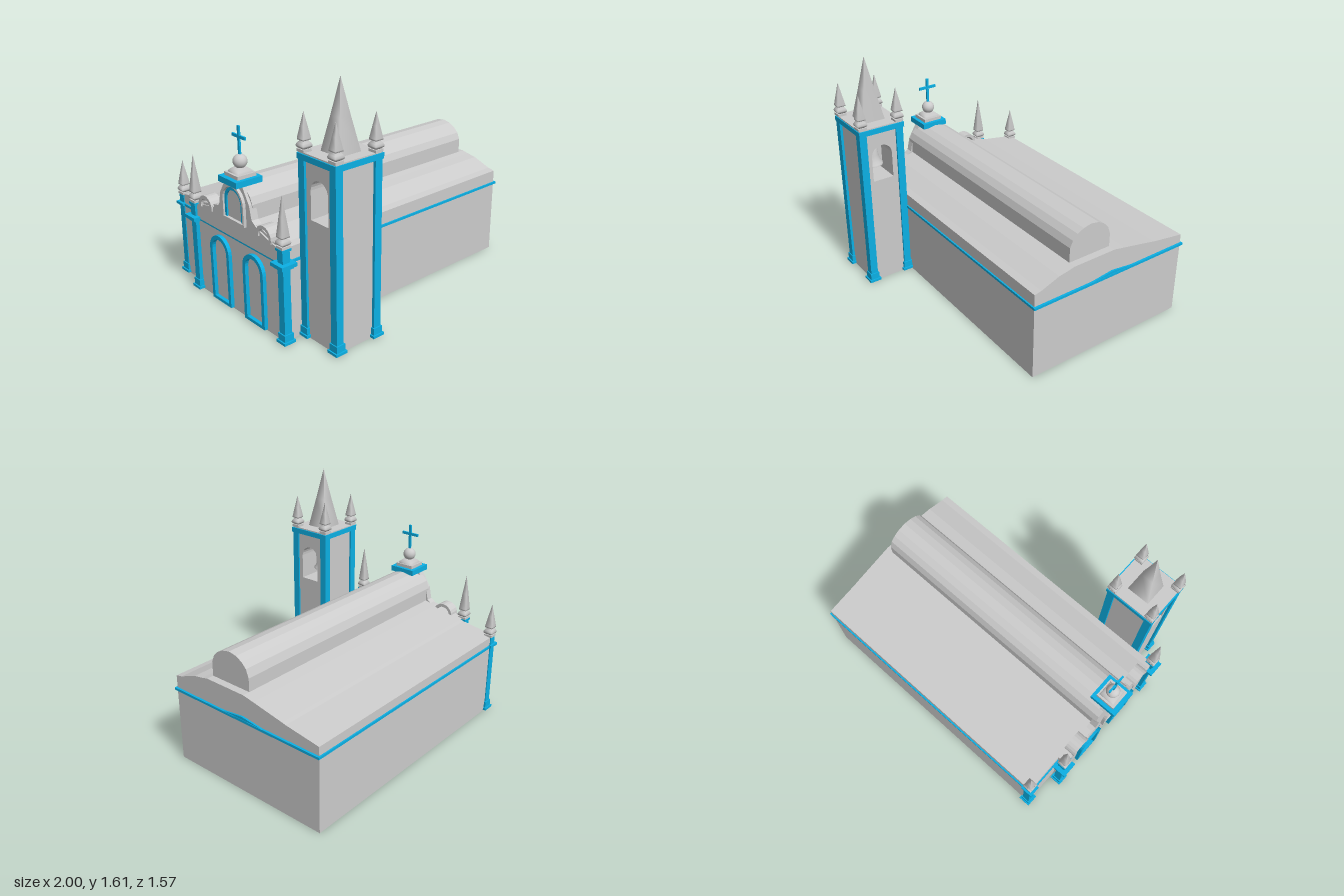
import * as THREE from 'three';

const grey = new THREE.MeshStandardMaterial({ color: 0xcccccc, side: THREE.DoubleSide });
const flat = new THREE.MeshStandardMaterial({ color: 0xcccccc, side: THREE.DoubleSide, flatShading: true });
const blue = new THREE.MeshStandardMaterial({ color: 0x0cb0e4, side: THREE.DoubleSide });

export function createModel() {
  const root = new THREE.Group();

  const add = (name, geometry, material = grey, parent = root) => {
    const mesh = new THREE.Mesh(geometry, material);
    mesh.name = name;
    parent.add(mesh);
    return mesh;
  };
  // box given by its limits on each axis
  const box = (name, x0, x1, y0, y1, z0, z1, material = grey, parent = root) =>
    add(name, new THREE.BoxGeometry(x1 - x0, y1 - y0, z1 - z0), material, parent)
      .position.set((x0 + x1) / 2, (y0 + y1) / 2, (z0 + z1) / 2);
  // outline of [z, y] points, pushed along x
  const outline = (pts, Type = THREE.Shape) => new Type(pts.map(([z, y]) => new THREE.Vector2(-z, y)));
  const along = (name, pts, x0, x1, material = grey, hole = null, parent = root) => {
    const shape = outline(pts);
    if (hole) shape.holes.push(outline(hole, THREE.Path));
    const g = new THREE.ExtrudeGeometry(shape, { depth: x1 - x0, bevelEnabled: false });
    g.rotateY(Math.PI / 2).translate(x0, 0, 0);
    return add(name, g, material, parent);
  };
  // round-headed opening: centre z, half width, sill and springing heights
  const arch = (z, r, y0, y1, n = 12) => {
    const pts = [[z - r, y0], [z + r, y0]];
    for (let i = 0; i <= n; i++) {
      const a = (i / n) * Math.PI;
      pts.push([z + r * Math.cos(a), y1 + r * Math.sin(a)]);
    }
    return pts;
  };
  // four-sided turned shape, radius = half side
  const square = (pts) => new THREE.LatheGeometry(
    pts.map(([r, y]) => new THREE.Vector2(r * Math.SQRT2, y)), 4).rotateY(Math.PI / 4);

  const pinnacle = (x, y, z, h, parent) => {
    const g = new THREE.Group();
    g.name = 'pinnacle';
    box('pinnacleBase', -0.03, 0.03, 0, 0.016, -0.03, 0.03, grey, g);
    add('pinnacleBulb', square([[0.02, 0.016], [0.032, 0.026], [0.034, 0.036], [0.028, 0.05], [0.019, 0.06], [0.019, 0.066]]), grey, g);
    add('pinnacleSpire', square([[0.0, 0.066], [0.028, 0.068], [0.028, 0.076], [0.015, 0.076 + (h - 0.076) * 0.48], [0.0005, h]]), grey, g);
    g.position.set(x, y, z);
    parent.add(g);
  };
  const column = (x, z, top, capital, parent) => {
    const g = new THREE.Group();
    g.name = 'column';
    const ring = (name, r, y0, y1) => box(name, x - r, x + r, y0, y1, z - r, z + r, blue, g);
    ring('columnFoot', 0.042, 0.008, 0.025);
    ring('columnPlinth', 0.033, 0.025, 0.07);
    ring('columnShaft', 0.026, 0.07, top);
    if (capital) {
      ring('columnCapital', 0.056, 0.512, 0.535);
      ring('columnNeck', 0.042, 0.498, 0.512);
      ring('columnTop', 0.033, top - 0.015, top);
    }
    parent.add(g);
  };

  // church body with its low sloping roof, the side aisle set back
  along('nave', [[-0.48, 0], [0.44, 0], [0.44, 0.61], [0.39, 0.62], [0.26, 0.668], [0.19, 0.68],
    [0.145, 0.69], [-0.17, 0.69], [-0.25, 0.675], [-0.48, 0.63]], -0.94, 0.98);
  along('sideAisle', [[-0.76, 0], [-0.48, 0], [-0.48, 0.63], [-0.51, 0.623], [-0.76, 0.585]], -0.89, 0.98);
  box('naveBand', -0.95, 0.995, 0.51, 0.526, -0.5, 0.45, blue);
  box('aisleBand', -0.9, 0.995, 0.51, 0.526, -0.77, -0.48, blue);
  along('rearPediment', [[0.05, 0.52], [-0.37, 0.52], [-0.16, 0.546]], 0.97, 0.992, blue);

  // long barrel vault
  along('vault', [[0.145, 0.66], [0.145, 0.79], [0.125, 0.835], [0.09, 0.87], [0.045, 0.893], [-0.01, 0.905],
    [-0.07, 0.895], [-0.115, 0.87], [-0.15, 0.835], [-0.17, 0.78], [-0.17, 0.66]], -0.93, 0.93, flat);

  // upper facade: swept gable, framed niche and scrolls
  along('facadeGable', [[-0.48, 0.52], [0.44, 0.52], [0.44, 0.61], [0.36, 0.62], [0.22, 0.66], [0.16, 0.7], [0.14, 0.79],
    [0.08, 0.89], [-0.1, 0.89], [-0.165, 0.79], [-0.185, 0.7], [-0.25, 0.66], [-0.4, 0.63], [-0.48, 0.61]], -0.95, -0.9);
  const niche = [[0.115, 0.1, -0.97], [0.095, 0.075, -0.96]];
  niche.forEach(([out, inn, x], i) =>
    along('nicheFrame', arch(-0.01, out, 0.64, 0.77), x, -0.94, i ? blue : grey, arch(-0.01, inn, 0.655, 0.77)));
  for (const s of [-1, 1]) {
    const cz = s > 0 ? 0.285 : -0.335;
    const outer = [], inner = [];
    for (let i = 0; i <= 12; i++) {
      const a = -0.35 + (i / 12) * 3.7;
      outer.push([cz + s * 0.075 * Math.cos(a), 0.64 + 0.072 * Math.sin(a)]);
      inner.unshift([cz + s * 0.052 * Math.cos(a), 0.64 + 0.05 * Math.sin(a)]);
    }
    along('scroll', [...outer, ...inner], -0.96, -0.88);
  }

  // arched door surrounds
  for (const z of [-0.195, 0.165]) {
    along('doorFrame', arch(z, 0.105, 0.01, 0.375), -0.965, -0.935, blue, arch(z, 0.078, 0.03, 0.375));
  }

  // facade columns and corner column
  for (const z of [-0.48, 0.45]) {
    column(-0.94, z, 0.625, true, root);
    pinnacle(-0.94, 0.625, z, 0.325, root);
  }
  column(-0.87, -0.74, 0.585, false, root);
  box('cornerCapital', -0.915, -0.83, 0.512, 0.53, -0.78, -0.7, blue);
  pinnacle(-0.87, 0.585, -0.74, 0.235, root);

  // stepped pedestal, ball and cross
  box('pedestalSlab', -1, -0.81, 0.893, 0.932, -0.1, 0.09, blue);
  box('pedestalStep', -0.97, -0.835, 0.932, 0.955, -0.075, 0.065);
  add('pedestalTop', square([[0.055, 0.955], [0.05, 0.968], [0.03, 0.985], [0, 0.985]])).position.set(-0.9, 0, -0.005);
  add('ball', new THREE.SphereGeometry(0.045, 20, 14)).position.set(-0.9, 1.022, -0.005);
  box('crossPost', -0.906, -0.894, 1.06, 1.243, -0.014, 0.004, blue);
  box('crossArm', -0.906, -0.894, 1.166, 1.185, -0.072, 0.062, blue);

  // bell tower with an opening running through along x
  const tower = new THREE.Group();
  tower.name = 'bellTower';
  root.add(tower);
  along('towerWalls', [[0.46, 0], [0.75, 0], [0.75, 1.15], [0.46, 1.15]], -0.8, -0.48, grey, arch(0.61, 0.075, 0.785, 0.965), tower);
  box('towerBand', -0.82, -0.46, 1.138, 1.174, 0.44, 0.772, blue, tower);
  box('towerRoof', -0.812, -0.468, 1.174, 1.182, 0.446, 0.766, grey, tower);
  for (const x of [-0.79, -0.495]) for (const z of [0.472, 0.742]) {
    column(x, z, 1.14, false, tower);
    pinnacle(x, 1.182, z, 0.23, tower);
  }
  add('towerSpire', square([[0.08, 1.182], [0.04, 1.39], [0.0005, 1.61]]), grey, tower).position.set(-0.64, 0, 0.61);

  // bell hung in front of a thin panel
  box('bellPanel', -0.645, -0.635, 0.838, 0.975, 0.535, 0.685, grey, tower);
  const bell = [[0.074, 0.838], [0.072, 0.85], [0.056, 0.87], [0.046, 0.91], [0.042, 0.95], [0.034, 0.97], [0.015, 0.98], [0, 0.982]];
  add('bell', new THREE.LatheGeometry(bell.map(([r, y]) => new THREE.Vector2(r, y)), 20), grey, tower).position.set(-0.64, 0, 0.61);

  return root;
}
